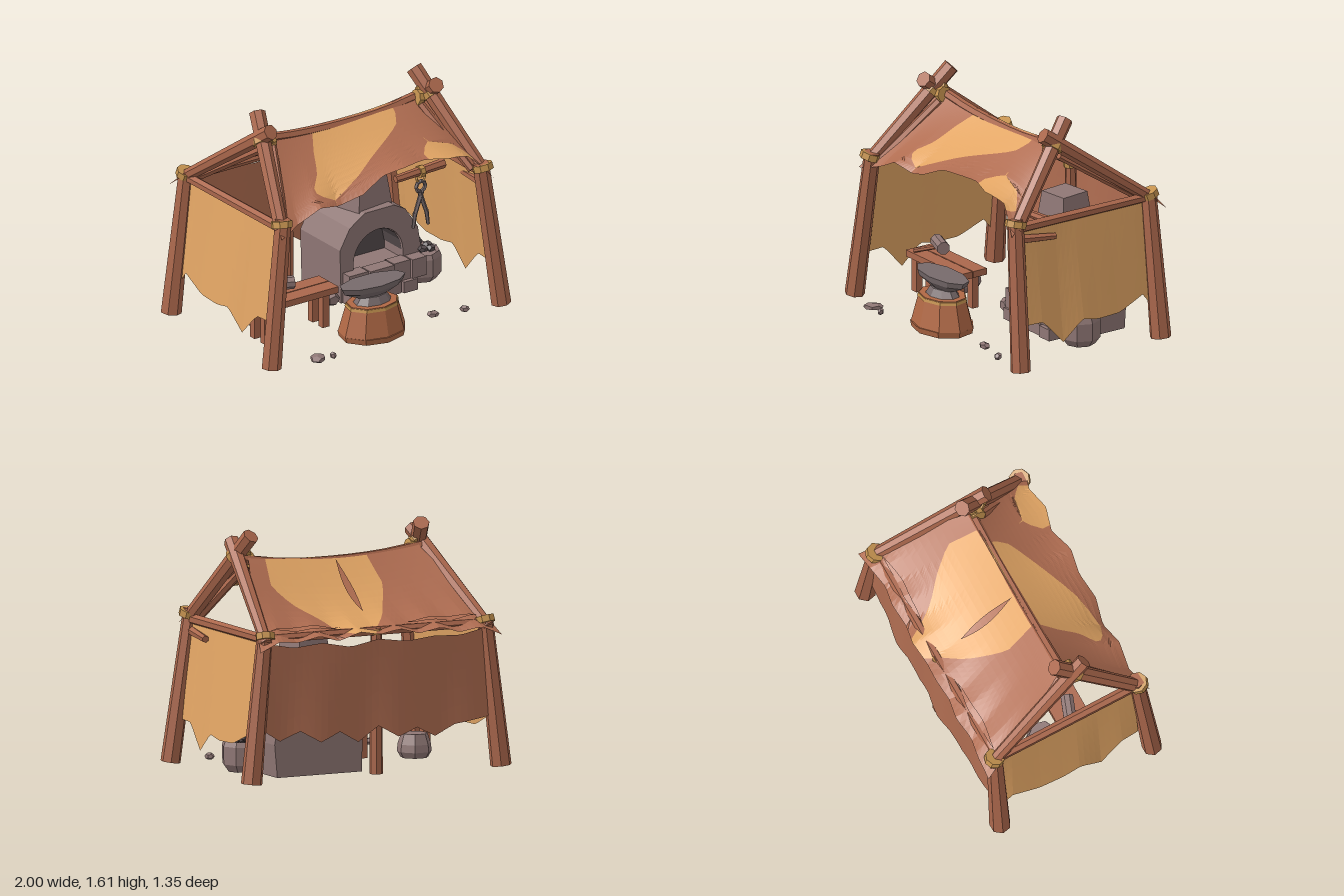
import * as THREE from 'three';

const material = (name, color, extra = {}) =>
  Object.assign(new THREE.MeshStandardMaterial({ color, flatShading: true, ...extra }), { name });
const V = (x, y, z) => new THREE.Vector3(x, y, z);
const lerp = THREE.MathUtils.lerp;

// Piecewise-linear lookup in an evenly spaced list
const pick = (list, t) => {
  const f = Math.min(Math.max(t, 0), 1) * (list.length - 1);
  const i = Math.min(Math.floor(f), list.length - 2);
  return lerp(list[i], list[i + 1], f - i);
};
// Lookup in rows of [v, value, value], returning column k
const rowAt = (rows, v, k) => {
  if (v <= rows[0][0]) return rows[0][k];
  for (let i = 1; i < rows.length; i++) {
    const [p, q] = [rows[i - 1], rows[i]];
    if (v <= q[0]) return lerp(p[k], q[k], (v - p[0]) / (q[0] - p[0]));
  }
  return rows[rows.length - 1][k];
};

export function createModel() {
  const model = new THREE.Group();
  model.name = 'smithy';
  const wood = material('wood', 0xaa674c);
  const stumpWood = material('stump wood', 0xb06845);
  const hide = material('brown hide', 0xb06d51, { side: THREE.DoubleSide });
  const tan = material('tan hide', 0xe2a564, { side: THREE.DoubleSide });
  const rope = material('rope', 0xc4924f);
  const stone = material('stone', 0x8f7775);
  const soot = material('soot', 0x544a4c, { side: THREE.DoubleSide });
  const iron = material('iron', 0x776a6b);

  const add = (name, geometry, mat, x = 0, y = 0, z = 0) => {
    const mesh = new THREE.Mesh(geometry, mat);
    mesh.name = name;
    mesh.position.set(x, y, z);
    model.add(mesh);
    return mesh;
  };
  const aim = (mesh, axis, dir) => mesh.quaternion.setFromUnitVectors(axis, dir.clone().normalize());
  const beam = (name, a, b, r0, r1, mat = wood, sides = 7) => {
    const d = b.clone().sub(a), c = a.clone().add(b).multiplyScalar(0.5);
    const mesh = add(name, new THREE.CylinderGeometry(r1, r0, d.length(), sides), mat, c.x, c.y, c.z);
    aim(mesh, V(0, 1, 0), d);
  };
  const tie = (p, dir, r = 0.072, h = 0.045) =>
    aim(add('ropeTie', new THREE.CylinderGeometry(r, r, h, 8), rope, p.x, p.y, p.z), V(0, 1, 0), dir);
  const box = (name, w, h, d, mat, x, y, z) => add(name, new THREE.BoxGeometry(w, h, d), mat, x, y, z);

  // Sheet over fn(u, v), with u running from a(v) to b(v)
  const sheet = (name, fn, a, b, mat, nu = 20, nv = 14) => {
    const pos = [], index = [];
    for (let j = 0; j <= nv; j++) for (let i = 0; i <= nu; i++) {
      const v = j / nv;
      pos.push(...fn(lerp(a(v), b(v), i / nu), v).toArray());
      if (i < nu && j < nv) {
        const k = j * (nu + 1) + i, l = k + nu + 1;
        index.push(k, l, k + 1, k + 1, l, l + 1);
      }
    }
    let g = new THREE.BufferGeometry();
    g.setAttribute('position', new THREE.Float32BufferAttribute(pos, 3));
    g.setIndex(index);
    g = g.toNonIndexed();
    g.computeVertexNormals();
    add(name, g, mat);
  };

  // Frame: posts, crossed rafters with inner poles, side beams and lashings
  for (const s of [-1, 1]) {
    beam('frontPost', V(s * 0.93, 0.01, 0.54), V(s * 0.8, 1.03, 0.49), 0.068, 0.056);
    beam('backPost', V(s * 0.93, 0.01, -0.6), V(s * 0.82, 1.0, -0.58), 0.072, 0.054);
    beam('frontRafter', V(s * 0.82, 0.96, 0.5), V(s * 0.635, 1.57, -0.035), 0.048, 0.056);
    beam('backRafter', V(s * 0.83, 0.94, -0.62), V(s * 0.67, 1.51, 0.17), 0.04, 0.054);
    beam('innerFrontRafter', V(s * 0.76, 0.98, 0.45), V(s * 0.6, 1.36, 0.09), 0.03, 0.03, wood, 6);
    beam('innerBackRafter', V(s * 0.78, 0.96, -0.54), V(s * 0.62, 1.32, 0.0), 0.03, 0.03, wood, 6);
    beam('sideBeam', V(s * 0.81, 0.965, 0.5), V(s * 0.82, 0.965, -0.58), 0.036, 0.033, wood, 6);
    tie(V(s * 0.813, 1.0, 0.495), V(-s * 0.12, 1, -0.3));
    tie(V(s * 0.82, 0.985, -0.585), V(-s * 0.1, 1, 0.35), 0.066);
    tie(V(s * 0.68, 1.42, 0.095), V(-s * 0.19, 0.61, -0.54), 0.068, 0.04);
    tie(V(s * 0.655, 1.43, 0.06), V(-s * 0.16, 0.57, 0.79), 0.066, 0.04);
    tie(V(s * 0.6, 1.4, 0.06), V(1, -0.2 * s, 0), 0.055, 0.04);
  }
  beam('backBeam', V(-0.83, 0.965, -0.57), V(0.83, 0.965, -0.57), 0.032, 0.032, wood, 6);
  beam('backCentrePost', V(-0.02, 0.01, -0.56), V(-0.02, 0.985, -0.56), 0.046, 0.038);
  tie(V(-0.02, 0.955, -0.56), V(0, 1, 0.1), 0.052, 0.035);
  const ridge = new THREE.CatmullRomCurve3([V(-0.68, 1.41, 0.03), V(-0.3, 1.365, 0.03), V(0.3, 1.36, 0.03), V(0.68, 1.41, 0.03)]);
  add('ridgePole', new THREE.TubeGeometry(ridge, 10, 0.034, 6), wood);

  // Roof hides: smooth sag from the ridge, with ragged teeth near the edge
  const roof = (eaveY, eaveZ, toothY, toothZ, width, sag) => (u, v) => {
    const m = 1 - u * u, t = (u + 1) / 2, ragged = v ** 4;
    return V(u * lerp(0.63, width, v),
      lerp(1.43 - 0.045 * m, eaveY(u, m), v) - sag * m * Math.sin(Math.PI * v) + ragged * pick(toothY, t),
      lerp(0.02, eaveZ, v) + ragged * pick(toothZ, t));
  };
  const front = roof((u, m) => 0.95 + 0.17 * m + 0.1 * u * (1 - u ** 4), 0.51,
    [-0.03, 0, 0.04, -0.045, -0.03, 0.02, 0.04, 0.03, 0.035, 0.05, -0.02],
    [0.05, -0.01, 0.01, -0.02, 0.02, -0.01, 0.02, -0.03, 0.02, -0.01, 0.05], 0.86, 0.015);
  const back = roof((u, m) => 0.92 + 0.04 * m, -0.65,
    [-0.03, 0.02, -0.02, 0.02, -0.02, 0.02, -0.01, 0.02, -0.03, 0.02, -0.01, 0.02, -0.03],
    [-0.02, -0.02, 0.01, -0.02, 0.01, -0.01, 0, -0.02, 0.01, -0.01, 0.02, -0.01, -0.02], 0.9, 0.07);
  const frontPatch = [[0, -0.36, 0.6], [0.1, -0.4, 0.62], [0.3, -0.46, 0.5], [0.55, -0.5, 0.15],
    [0.75, -0.6, -0.1], [0.86, -0.52, -0.3], [0.93, -0.42, -0.42]];
  const cornerPatch = [[0.64, 0.62, 0.62], [0.72, 0.54, 0.84], [0.86, 0.46, 0.92], [1, 0.45, 0.84]];
  const backPatch = [[0, -0.39, 0.8], [0.3, -0.38, 0.79], [0.5, -0.26, 0.6], [0.68, -0.16, 0.4], [0.85, -0.04, 0.29], [1, 0.03, 0.2]];
  const edge = (rows, k) => v => rowAt(rows, v, k);
  const left = () => -1, right = () => 1;
  sheet('frontRoofLeft', front, left, edge(frontPatch, 1), hide);
  sheet('frontRoofPatch', front, edge(frontPatch, 1), edge(frontPatch, 2), tan);
  sheet('frontRoofMiddle', front, edge(frontPatch, 2), edge(cornerPatch, 1), hide);
  sheet('frontRoofCornerPatch', front, edge(cornerPatch, 1), edge(cornerPatch, 2), tan);
  sheet('frontRoofRight', front, edge(cornerPatch, 2), right, hide);
  sheet('backRoofLeft', back, left, edge(backPatch, 1), hide);
  sheet('backRoofPatch', back, edge(backPatch, 1), edge(backPatch, 2), tan);
  sheet('backRoofRight', back, edge(backPatch, 2), right, hide);

  // Raised folds: one down the back, one along each back corner
  const lift = p => p.add(V(0, 0.018, 0));
  const lens = (v, w) => w * Math.sin(Math.PI * v);
  sheet('backFold', (u, v) => lift(back(-0.01 + u, lerp(0.05, 0.62, v))), v => -lens(v, 0.04), v => lens(v, 0.04), hide, 2, 10);
  for (const s of [-1, 1])
    sheet('cornerFold', (u, v) => lift(back(s * lerp(0.9, 0.28, v), 0.85 + u)), v => -lens(v, 0.03), v => lens(v, 0.03), hide, 2, 10);

  // Hanging walls
  const backTop = [0.94, 0.9, 0.91, 0.89, 0.92, 0.88, 0.92, 0.9, 0.94];
  const backBottom = [0.35, 0.33, 0.31, 0.24, 0.31, 0.26, 0.34, 0.24, 0.32, 0.26, 0.34, 0.28, 0.37];
  sheet('backWall', (u, v) => V(lerp(-0.83, 0.83, u) * (1 + 0.04 * v), lerp(pick(backTop, u), pick(backBottom, u), v),
    -0.605 - 0.03 * Math.sin(Math.PI * u) - 0.012 * Math.sin(u * 19) * v), () => 0, right, hide, 36, 5);
  const sideBottom = [[0, 0.3], [0.13, 0.3], [0.28, 0.13], [0.43, 0.26], [0.55, 0.235], [0.73, 0.24], [0.92, 0.32], [1, 0.22]];
  for (const s of [-1, 1])
    sheet('sideWall', (u, v) => V(s * (lerp(0.815, 0.885, v) + 0.025 * Math.sin(Math.PI * u) * v),
      lerp(0.95, rowAt(sideBottom, u, 1), v), lerp(0.46, lerp(-0.53, -0.565, v), u)), () => 0, right, tan, 25, 5);

  // Forge body with an arched mouth
  const outline = [[0.05, 0.02], [0.68, 0.02], [0.7, 0.24], [0.67, 0.42], [0.57, 0.57], [0.48, 0.62], [0.24, 0.62], [0.12, 0.54], [0.04, 0.4]];
  const body = () => new THREE.Shape(outline.map(p => new THREE.Vector2(...p)));
  const mouthShape = body(), mouth = new THREE.Path();
  mouth.moveTo(0.15, 0.22).lineTo(0.15, 0.28).absarc(0.35, 0.28, 0.2, Math.PI, 0, true).lineTo(0.55, 0.22).lineTo(0.15, 0.22);
  mouthShape.holes.push(mouth);
  const slab = (shape, depth) => new THREE.ExtrudeGeometry(shape, { depth, bevelEnabled: false, curveSegments: 8 });
  add('forgeMouth', slab(mouthShape, 0.22), stone, 0, 0, -0.26);
  add('forgeBack', slab(body(), 0.23), stone, 0, 0, -0.49);
  box('mouthBack', 0.42, 0.28, 0.008, soot, 0.35, 0.35, -0.254);
  const lining = add('mouthLining', new THREE.CylinderGeometry(0.196, 0.196, 0.2, 8, 1, true, Math.PI / 2, Math.PI), soot, 0.35, 0.28, -0.15);
  lining.rotation.x = Math.PI / 2;
  const flue = add('chimney', new THREE.CylinderGeometry(0.15, 0.21, 0.35, 4, 1), stone, 0.35, 0.765, -0.24);
  flue.rotation.y = Math.PI / 4 + 0.12;

  // Hearth bricks
  [[0.02, 0.08, [0.06, 0.19, 0.34, 0.48, 0.6]], [0.1, 0.135, [0.06, 0.22, 0.42, 0.56, 0.68]]].forEach(([y, h, xs], row) => {
    for (let i = 0; i < xs.length - 1; i++)
      box('hearthBrick', xs[i + 1] - xs[i] - 0.008, h, 0.1, stone, (xs[i] + xs[i + 1]) / 2, y + h / 2, (i % 2) * 0.015 - row * 0.015);
  });

  // Stone tub of coal, and a squat stone block behind the bench
  const tub = [[0, 0.02], [0.1, 0.02], [0.137, 0.07], [0.14, 0.19], [0.125, 0.225], [0.11, 0.2], [0, 0.2]];
  add('stoneTub', new THREE.LatheGeometry(tub.map(p => new THREE.Vector2(...p)), 8), stone, 0.73, 0, -0.09);
  const block = [[0, 0.02], [0.095, 0.02], [0.118, 0.06], [0.112, 0.11], [0.088, 0.18], [0, 0.18]];
  add('stoneBlock', new THREE.LatheGeometry(block.map(p => new THREE.Vector2(...p)), 7), stone, -0.56, 0, -0.08);
  const rock = (name, x, y, z, w, h, d, mat = stone) => {
    const mesh = add(name, new THREE.DodecahedronGeometry(1), mat, x, y, z);
    mesh.scale.set(w, h, d);
    mesh.rotation.y = x * 9 + z * 5;
  };
  for (let i = 0; i < 7; i++)
    rock('coal', 0.73 + 0.07 * Math.cos(i) * (i > 0), 0.23 + 0.012 * (i % 3), -0.09 + 0.07 * Math.sin(i), 0.036, 0.026, 0.034, soot);
  rock('looseStone', -0.03, 0.07, -0.06, 0.07, 0.055, 0.06);
  for (const [x, z, r] of [[-0.61, 0.62, 0.07], [-0.5, 0.64, 0.025], [0.43, 0.47, 0.045], [0.65, 0.52, 0.035]])
    rock('pebble', x, 0.03, z, r, 0.025, r * 0.75);

  // Anvil on a stump
  const oval = (name, top, bottom, y0, y1, flat, mat) => {
    const mesh = add(name, new THREE.CylinderGeometry(top, bottom, y1 - y0, 9), mat, -0.055, (y0 + y1) / 2, 0.46);
    mesh.scale.z = flat;
  };
  oval('stumpFoot', 0.245, 0.235, 0.01, 0.05, 0.8, stumpWood);
  oval('stump', 0.185, 0.245, 0.05, 0.25, 0.76, stumpWood);
  oval('stumpBand', 0.192, 0.198, 0.225, 0.245, 0.76, rope);
  oval('anvilFoot', 0.1, 0.14, 0.25, 0.3, 0.7, iron);
  oval('anvilBody', 0.24, 0.12, 0.295, 0.35, 0.42, iron);
  oval('anvilFace', 0.26, 0.24, 0.35, 0.39, 0.42, iron);

  // Bench and mallet
  for (const z of [0.07, 0.185]) {
    box('benchPlank', 0.6, 0.045, 0.108, wood, -0.47, 0.275, z);
    for (const x of [-0.72, -0.25]) box('benchLeg', 0.055, 0.24, 0.05, wood, x, 0.135, z);
  }
  beam('malletHead', V(-0.63, 0.375, 0.09), V(-0.47, 0.375, 0.15), 0.045, 0.045, stone, 8);
  beam('malletHandle', V(-0.69, 0.315, 0.23), V(-0.53, 0.37, 0.1), 0.016, 0.016, wood, 6);

  // Pegs: one outside the wall, one inside holding the tongs
  beam('outerPeg', V(0.81, 0.89, 0.5), V(0.85, 0.865, 0.2), 0.034, 0.024, wood, 6);
  beam('innerPeg', V(0.8, 0.88, 0.07), V(0.41, 0.86, 0.07), 0.034, 0.026, wood, 6);
  tie(V(0.615, 0.868, 0.07), V(1, 0.05, 0), 0.042, 0.035);
  add('tongCord', new THREE.TorusGeometry(0.035, 0.01, 4, 8), rope, 0.615, 0.825, 0.07);
  add('tongRing', new THREE.TorusGeometry(0.038, 0.014, 5, 8), iron, 0.615, 0.76, 0.07);
  for (const s of [-1, 1]) {
    beam('tongArm', V(0.615 - s * 0.012, 0.73, 0.07), V(0.615 + s * 0.045, 0.57, 0.07), 0.017, 0.015, iron, 5);
    beam('tongJaw', V(0.615 + s * 0.045, 0.58, 0.07), V(0.615 + s * 0.06, 0.475, 0.07), 0.016, 0.012, iron, 5);
  }
  return model;
}
